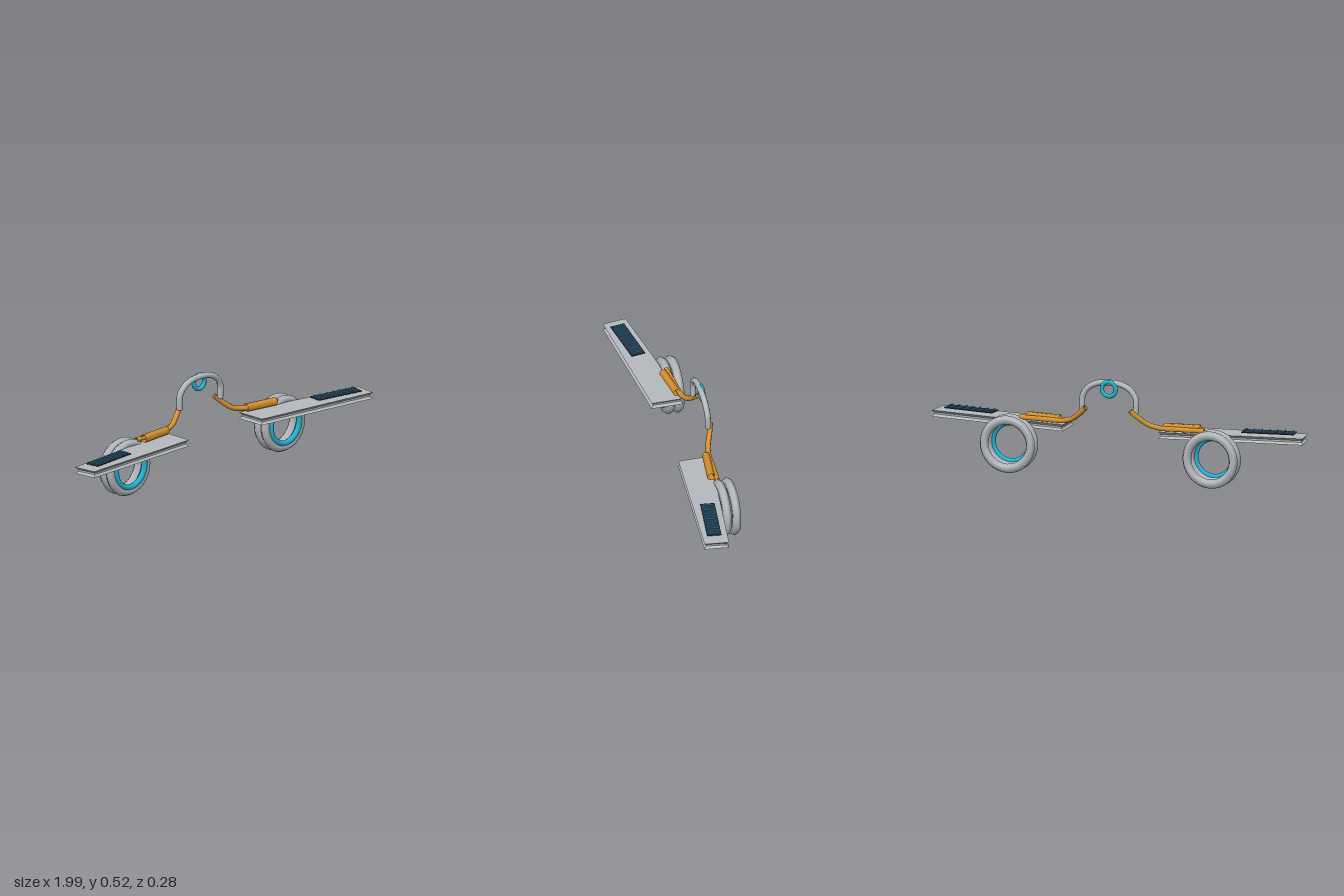
import * as THREE from 'three';

const mat = (name, color, side = THREE.FrontSide) => {
  const m = new THREE.MeshStandardMaterial({ color, side });
  m.name = name;
  return m;
};

export function createModel() {
  const silver = mat('silver', 0xb6babe, THREE.DoubleSide);
  const amber = mat('amber', 0xd8932f, THREE.DoubleSide);
  const teal = mat('teal', 0x22b4d2);
  const navy = mat('navy', 0x26364a);

  const root = new THREE.Group();
  root.name = 'model';

  const add = (parent, name, geometry, material, x = 0, y = 0, z = 0) => {
    const mesh = new THREE.Mesh(geometry, material);
    mesh.name = name;
    mesh.position.set(x, y, z);
    parent.add(mesh);
    return mesh;
  };
  const tube = (points, radius, segments, sides) => new THREE.TubeGeometry(
    new THREE.CatmullRomCurve3(points.map(p => new THREE.Vector3(...p))), segments, radius, sides);

  // Arm plate: four-cornered slab whose side walls pinch inwards at mid height
  function plateGeometry(s) {
    const corners = [[0.256, 0.075], [0.981, 0.134], [0.997, 0.01], [0.256, -0.092]];
    const cx = 0.63, cz = 0.03, inset = 0.011;
    const levels = [[0.234, 0], [0.246, 1], [0.255, 1], [0.267, 0]];
    const pos = [];
    const at = (i, [y, k]) => {
      const [x, z] = corners[i % 4];
      return [s * (x - Math.sign(x - cx) * inset * k), y, z - Math.sign(z - cz) * inset * k];
    };
    const quad = (a, b, c, d) => {
      const order = s > 0 ? [a, b, c, a, c, d] : [a, c, b, a, d, c];
      order.forEach(p => pos.push(...p));
    };
    for (let l = 0; l < 3; l++) {
      for (let i = 0; i < 4; i++) {
        quad(at(i, levels[l]), at(i + 1, levels[l]), at(i + 1, levels[l + 1]), at(i, levels[l + 1]));
      }
    }
    quad(...[0, 1, 2, 3].map(i => at(i, levels[3])));
    quad(...[3, 2, 1, 0].map(i => at(i, levels[0])));
    const g = new THREE.BufferGeometry();
    g.setAttribute('position', new THREE.Float32BufferAttribute(pos, 3));
    g.computeVertexNormals();
    return g;
  }

  // Central bridge arch and its small ring
  const half = [[0.143, 0.362, -0.112], [0.145, 0.40, -0.111], [0.142, 0.435, -0.11],
    [0.118, 0.473, -0.108], [0.07, 0.5, -0.107]];
  const arch = [...half.map(([x, y, z]) => [-x, y, z]), [0, 0.509, -0.107], ...half.reverse()];
  add(root, 'bridgeArch', tube(arch, 0.0155, 48, 8), silver);
  add(root, 'bridgeRing', new THREE.TorusGeometry(0.037, 0.0115, 8, 32), teal, 0, 0.477, -0.117);

  for (const s of [1, -1]) {
    const side = new THREE.Group();
    side.name = s > 0 ? 'leftSide' : 'rightSide';
    root.add(side);

    add(side, 'armPlate', plateGeometry(s), silver);

    // Pair of rings with a coloured inner ring at the front
    for (const z of [-0.07, -0.119]) {
      add(side, 'rimRing', new THREE.TorusGeometry(0.1245, 0.0235, 6, 40), silver, s * 0.545, 0.151, z);
    }
    add(side, 'innerRing', new THREE.TorusGeometry(0.1, 0.015, 8, 40), teal, s * 0.545, 0.151, -0.055);

    // Curved link from the arch to the hinge barrel
    const link = [[0.12, 0.375, -0.13], [0.16, 0.338, -0.115], [0.21, 0.302, -0.094],
      [0.27, 0.287, -0.081], [0.36, 0.286, -0.075], [0.495, 0.286, -0.066]];
    add(side, 'hingeLink', tube(link.map(([x, y, z]) => [s * x, y, z]), 0.0135, 40, 8), amber);

    // Open hexagonal hinge barrel
    const barrel = add(side, 'hingeBarrel',
      new THREE.CylinderGeometry(0.021, 0.021, 0.188, 6, 1, true), amber, s * 0.372, 0.292, -0.053);
    barrel.rotation.set(0, -s * 0.125, Math.PI / 2);

    // Dark panel with thin cross bars, floating just above the plate
    const panel = new THREE.Group();
    panel.name = 'panel';
    panel.position.set(s * 0.8, 0, 0.052);
    panel.rotation.y = -s * 0.137;
    side.add(panel);
    add(panel, 'panelBase', new THREE.BoxGeometry(0.272, 0.005, 0.073), navy, 0, 0.279, 0);
    for (let i = 0; i < 7; i++) {
      add(panel, 'panelBar', new THREE.BoxGeometry(0.006, 0.005, 0.056), teal, (i - 3) * 0.04, 0.287, 0);
    }
  }
  return root;
}
